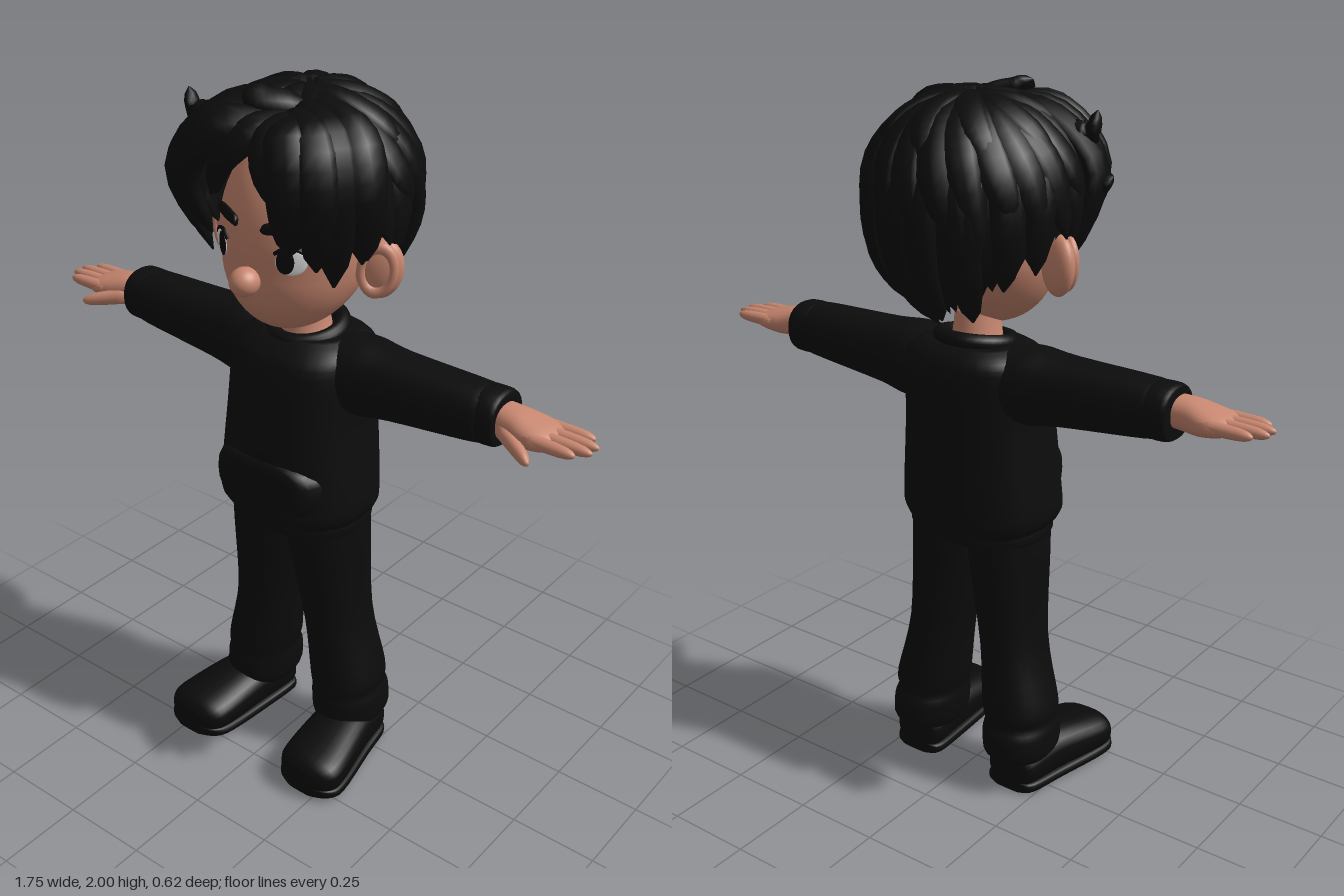
import * as THREE from 'three';

const V = (x, y, z) => new THREE.Vector3(x, y, z);
const mat = (name, color, side = THREE.FrontSide) => {
  const m = new THREE.MeshStandardMaterial({ color, side });
  m.name = name;
  return m;
};

// Skin over a series of rings; each ring has a centre c and half axes u, v
function skin(rings, n = 24, p = 2) {
  const pos = [], idx = [], bend = (a) => Math.sign(a) * Math.abs(a) ** (2 / p);
  for (const { c, u, v } of rings) {
    for (let j = 0; j < n; j++) {
      const a = (j / n) * Math.PI * 2;
      pos.push(...c.clone().addScaledVector(u, bend(Math.cos(a))).addScaledVector(v, bend(Math.sin(a))).toArray());
    }
  }
  const last = rings.length - 1, s = rings.length * n;
  for (let i = 0; i < last; i++) {
    for (let j = 0; j < n; j++) {
      const a = i * n + j, b = i * n + ((j + 1) % n);
      idx.push(a, b, b + n, a, b + n, a + n);
    }
  }
  // End caps
  pos.push(...rings[0].c.toArray(), ...rings[last].c.toArray());
  for (let j = 0; j < n; j++) {
    const k = (j + 1) % n;
    idx.push(s, k, j, s + 1, last * n + j, last * n + k);
  }
  const g = new THREE.BufferGeometry();
  g.setAttribute('position', new THREE.Float32BufferAttribute(pos, 3));
  g.setIndex(idx);
  g.computeVertexNormals();
  return g;
}

// Smooth loft along an axis; rows are [t, centreU, centreV, radiusU, radiusV]
function loft(axis, rows, p = 2, steps = 4) {
  const k = 'xyz'.indexOf(axis), iu = (k + 1) % 3, iv = (k + 2) % 3, rings = [];
  const at = (i) => rows[Math.min(Math.max(i, 0), rows.length - 1)];
  for (let s = 0; s <= (rows.length - 1) * steps; s++) {
    const i = Math.floor(s / steps), f = s / steps - i;
    const r = at(i).map((b, m) => {
      const a = at(i - 1)[m], c = at(i + 1)[m], d = at(i + 2)[m];
      return b + 0.5 * f * (c - a + f * (2 * a - 5 * b + 4 * c - d + f * (3 * (b - c) + d - a)));
    });
    const c = V(0, 0, 0).setComponent(k, r[0]).setComponent(iu, r[1]).setComponent(iv, r[2]);
    rings.push({ c, u: V(0, 0, 0).setComponent(iu, r[3]), v: V(0, 0, 0).setComponent(iv, r[4]) });
  }
  return skin(rings, 28, p);
}

// Round-tipped finger running along x
function digit(a, b, r) {
  const rows = Array.from({ length: 9 }, (_, i) => {
    const t = Math.sin((i / 8) * Math.PI / 2), c = a.clone().lerp(b, t), w = r * (1 - 0.2 * t) * Math.sqrt(1.005 - t ** 8);
    return [c.x, c.y, c.z, w, w];
  });
  return loft('x', rows, 2, 1);
}

// Band with rounded edges round a vertical or sideways axis
const band = (axis, t0, t1, cu, cv, ru, rv) => loft(axis, [0, 0.2, 0.8, 1].map((f, i) => {
  const inset = i % 3 ? 0 : 0.007;
  return [t0 + (t1 - t0) * f, cu, cv, ru - inset, rv - inset];
}), 2.3, 2);

// Tapered lock of hair lying against the skull
function lock(pts, width, thick) {
  const curve = new THREE.CatmullRomCurve3(pts), rings = [];
  for (let i = 0; i <= 12; i++) {
    const t = i / 12, c = curve.getPoint(t), d = curve.getTangent(t);
    const side = d.clone().cross(c.clone().sub(V(0, 1.68, 0))).normalize();
    const out = side.clone().cross(d).normalize();
    const w = 1.4 * Math.sqrt(1.001 - t) * (0.5 + t);
    rings.push({ c, u: out.multiplyScalar(thick * Math.min(w, 1)), v: side.multiplyScalar(width * w) });
  }
  return skin(rings, 10);
}

// Point on the hair volume; azimuth 0 is the front, polar 0 the crown
function scalp(az, pol, k = 1) {
  const a = THREE.MathUtils.degToRad(az), b = THREE.MathUtils.degToRad(pol), c = Math.cos(b), r = 0.27 * k * Math.sin(b);
  return V(r * Math.sin(a), 1.69 + (c > 0 ? 0.28 : 0.34) * k * c, -0.01 + r * Math.cos(a));
}
// Polar angle of the hairline: high on the forehead, level at the temples, low at the nape
function hairline(az) {
  const d = Math.abs(((az + 540) % 360) - 180), { smoothstep } = THREE.MathUtils;
  return 57 + 48 * smoothstep(d, 25, 80) + 42 * smoothstep(d, 85, 180);
}
// Depth of the face surface
const faceZ = (x, y) => 0.03 + 0.2 * Math.sqrt(Math.max(0, 1 - (x / 0.205) ** 2 - ((y - 1.6) / (y > 1.6 ? 0.27 : 0.245)) ** 2));

export function createModel() {
  const root = new THREE.Group();
  root.name = 'boy';
  const skinMat = mat('skin', 0xc88770), hairMat = mat('hair', 0x0c0c0c, THREE.DoubleSide);
  const shirtMat = mat('sweatshirt', 0x0c0c0d), trouserMat = mat('trousers', 0x0b0b0b);
  const shoeMat = mat('shoes', 0x0a0a0a), whiteMat = mat('eyeWhite', 0xe4e4e4), pupilMat = mat('pupil', 0x080808);
  const add = (name, geo, material, parent = root) => {
    const m = new THREE.Mesh(geo, material);
    m.name = name;
    parent.add(m);
    return m;
  };
  const ball = (name, material, parent, center, radii) => {
    const m = add(name, new THREE.SphereGeometry(1, 24, 16), material, parent);
    m.position.set(...center);
    m.scale.set(...radii);
    return m;
  };

  // Head with a fuller skull and a forward jaw
  const head = new THREE.SphereGeometry(1, 40, 32), hp = head.attributes.position;
  for (let i = 0; i < hp.count; i++) {
    const y = hp.getY(i), jaw = Math.max(0, -y - 0.2) * 0.06;
    hp.setXYZ(i, hp.getX(i) * 0.205, 1.6 + y * (y > 0 ? 0.27 : 0.245), 0.03 + hp.getZ(i) * 0.2 + jaw);
  }
  head.computeVertexNormals();
  add('head', head, skinMat);
  ball('nose', skinMat, root, [0, 1.527, 0.245], [0.039, 0.038, 0.042]);
  add('neck', loft('y', [[1.27, 0, 0, 0.09, 0.1], [1.32, 0, 0, 0.075, 0.068], [1.42, 0.005, 0, 0.068, 0.056]]), skinMat);

  // Sweatshirt body, hem, collar and front pocket
  add('sweatshirtBody', loft('y', [[0.795, 0.02, 0, 0.165, 0.2], [0.83, 0.028, 0, 0.187, 0.222], [0.9, 0.025, 0, 0.188, 0.22],
    [1.1, 0.015, 0, 0.181, 0.202], [1.25, 0.002, 0, 0.168, 0.198], [1.3, -0.008, 0, 0.14, 0.185], [1.325, -0.01, 0, 0.105, 0.14]], 2.4), shirtMat);
  add('sweatshirtHem', band('y', 0.765, 0.815, 0.022, 0, 0.165, 0.205), shirtMat);
  const collar = add('collar', new THREE.TorusGeometry(0.095, 0.022, 12, 36), shirtMat);
  collar.rotation.x = Math.PI / 2 + 0.16;
  collar.position.set(0, 1.325, -0.004);
  add('frontPocket', loft('z', [[0.14, 0, 0.92, 0.18, 0.085], [0.2, 0, 0.92, 0.15, 0.08], [0.217, 0, 0.92, 0.1, 0.055]], 3), shirtMat);

  // Paired parts, mirrored
  for (const s of [1, -1]) {
    const side = new THREE.Group();
    side.name = s > 0 ? 'leftSide' : 'rightSide';
    side.scale.x = s;
    root.add(side);

    // Sleeve and cuff
    add('sleeve', loft('x', [[0.08, 1.23, -0.01, 0.09, 0.11], [0.19, 1.228, -0.008, 0.106, 0.108], [0.3, 1.232, -0.006, 0.094, 0.092],
      [0.55, 1.243, -0.006, 0.077, 0.082], [0.57, 1.243, -0.006, 0.068, 0.072]], 2.2), shirtMat, side);
    add('sleeveCuff', band('x', 0.55, 0.624, 1.245, -0.008, 0.074, 0.077), shirtMat, side);

    // Hand with four fingers and a thumb
    add('palm', loft('x', [[0.58, 1.252, -0.005, 0.04, 0.045], [0.65, 1.248, 0, 0.043, 0.052], [0.7, 1.243, 0, 0.038, 0.064],
      [0.75, 1.241, 0, 0.026, 0.066], [0.775, 1.24, 0, 0.014, 0.055]], 2.3), skinMat, side);
    for (let i = -1.5; i <= 1.5; i++) {
      add('finger', digit(V(0.71, 1.245, i * 0.031), V(0.878 - 0.014 * i * i, 1.246, i * 0.034), 0.019), skinMat, side);
    }
    add('thumb', digit(V(0.63, 1.238, 0.03), V(0.753, 1.214, 0.1), 0.024), skinMat, side);

    // Trouser leg with gathered ankle
    add('trouserLeg', loft('y', [[0.1, -0.01, 0.165, 0.1, 0.088], [0.125, -0.008, 0.166, 0.122, 0.1], [0.18, -0.005, 0.163, 0.123, 0.101],
      [0.215, 0, 0.16, 0.113, 0.096], [0.26, -0.002, 0.156, 0.118, 0.1], [0.45, 0.007, 0.126, 0.11, 0.086],
      [0.7, 0.018, 0.1, 0.13, 0.101], [0.8, 0.02, 0.097, 0.138, 0.099]], 2.2), trouserMat, side);

    // Shoe, and a sole following its outline
    const shoe = [[-0.085, 0.172, 0.06, 0.05, 0.045], [-0.06, 0.172, 0.068, 0.078, 0.06], [0.05, 0.185, 0.078, 0.088, 0.07],
      [0.22, 0.21, 0.067, 0.102, 0.06], [0.275, 0.213, 0.062, 0.086, 0.05], [0.298, 0.213, 0.058, 0.045, 0.03]];
    add('shoe', loft('z', shoe, 2.5), shoeMat, side);
    add('sole', loft('z', shoe.map(([z, x, , w]) => [z, x, 0.018 + Math.max(0, z - 0.15) * 0.07, w * 1.03, 0.018]), 4), shoeMat, side);

    // Ear with a raised rim
    const ear = ball('ear', skinMat, side, [0.245, 1.553, 0.015], [0.062, 0.082, 0.034]);
    const rim = add('earRim', new THREE.TorusGeometry(0.048, 0.014, 10, 28), skinMat, side);
    rim.position.set(0.254, 1.556, 0.036);
    rim.scale.set(0.85, 1.25, 1);
    for (const part of [ear, rim]) part.rotation.set(0, 0.45, -0.15);

    // Eye, pupil, lash line and eyebrow laid on the face
    const plate = (name, m, x, y, w, h, lift) => {
      const e = ball(name, m, side, [x, y, faceZ(x, y) + lift], [w, h, 0.004]);
      e.rotation.y = Math.atan2(x / 0.205 ** 2, (faceZ(x, y) - 0.03) / 0.04);
    };
    plate('eyeWhite', whiteMat, 0.112, 1.592, 0.04, 0.034, 0.002);
    plate('pupil', pupilMat, 0.101, 1.594, 0.023, 0.032, 0.006);
    const lash = [[0.074, 1.612], [0.1, 1.629], [0.13, 1.622], [0.15, 1.602]].map(([x, y]) => V(x, y, faceZ(x, y) + 0.003));
    add('lash', new THREE.TubeGeometry(new THREE.CatmullRomCurve3(lash), 16, 0.005, 8), pupilMat, side);
    const brow = [[0.04, 1.668, 0.006], [0.05, 1.67, 0.015], [0.1, 1.676, 0.018], [0.135, 1.672, 0.013], [0.158, 1.662, 0.004]];
    add('eyebrow', loft('x', brow.map(([x, y, h]) => [x, y, faceZ(x, y) + 0.002, h, 0.01])), hairMat, side);
  }

  // Hair: inner cap trimmed at the hairline
  const hair = new THREE.Group();
  hair.name = 'hair';
  root.add(hair);
  const cap = new THREE.SphereGeometry(1, 48, 20), cp = cap.attributes.position, uv = cap.attributes.uv;
  for (let i = 0; i < cp.count; i++) {
    const az = uv.getX(i) * 360 - 90;
    cp.setXYZ(i, ...scalp(az, (1 - uv.getY(i)) * hairline(az), 0.94).toArray());
  }
  cap.computeVertexNormals();
  add('hairCap', cap, hairMat, hair);

  // Layered locks falling from the crown round the sides and back
  const strand = (name, pts, w, t) => add(name, lock(pts, w, t), hairMat, hair);
  const lift = [0.98, 1.01, 1.05, 1.07];
  for (let i = 0; i < 15; i++) {
    const wave = Math.sin(i * 2.3), low = 78 + i * 14.6, high = 60 + i * 17;
    strand('lowerLock', [0.35, 0.55, 0.8, 1.02 + 0.03 * wave].map((f, k) => scalp(low - 6 + k * 4 * wave, hairline(low) * f, 1.02 - 0.005 * k)), 0.046, 0.026);
    strand('upperLock', [10, 38, 66, 94 + 8 * wave].map((pol, k) => scalp(high - 18 + k * 8, pol, lift[k])), 0.05, 0.026);
  }
  for (let i = 0; i < 9; i++) {
    strand('crownLock', [5, 25, 45, 62].map((pol, k) => scalp(i * 40 + k * 9, pol, lift[k])), 0.045, 0.024);
  }

  // Fringe sweeping from an off-centre parting to both temples
  const tips = [[0.125, 1.62, 0.22], [0.178, 1.58, 0.185], [0.198, 1.53, 0.14], [0.235, 1.58, 0.075]];
  for (const s of [1, -1]) {
    tips.forEach(([x, y, z], i) => strand('fringeLock', [V(0.045 + 0.02 * s, 1.92 + 0.01 * i, 0.17 - 0.04 * i),
      V(s * x * 0.85 + 0.03, 1.91, z + 0.025), V(s * (x * 1.1 + 0.025), 1.775, z + 0.05), V(s * x, y, z)], 0.058, 0.035));
    // Short inner lock framing the forehead
    strand('foreheadLock', [V(0.065, 1.93, 0.13), V(0.055 + 0.03 * s, 1.915, 0.225), V(0.03 + 0.07 * s, 1.85, 0.265), V(0.02 + 0.12 * s, 1.735, 0.25)], 0.052, 0.026);
  }

  // Loose flicks at the right temple and on top
  strand('templeFlick', [V(-0.1, 1.9, 0.1), V(-0.2, 1.89, 0.11), V(-0.27, 1.88, 0.11), V(-0.29, 1.935, 0.11)], 0.036, 0.024);
  strand('sideFlick', [V(-0.18, 1.85, 0.1), V(-0.26, 1.79, 0.12), V(-0.3, 1.755, 0.12), V(-0.335, 1.775, 0.12)], 0.036, 0.022);
  strand('topFlick', [V(0.06, 1.93, 0.05), V(0.03, 1.955, 0.11), V(-0.02, 1.965, 0.15), V(-0.06, 1.985, 0.16)], 0.045, 0.024);

  return root;
}
